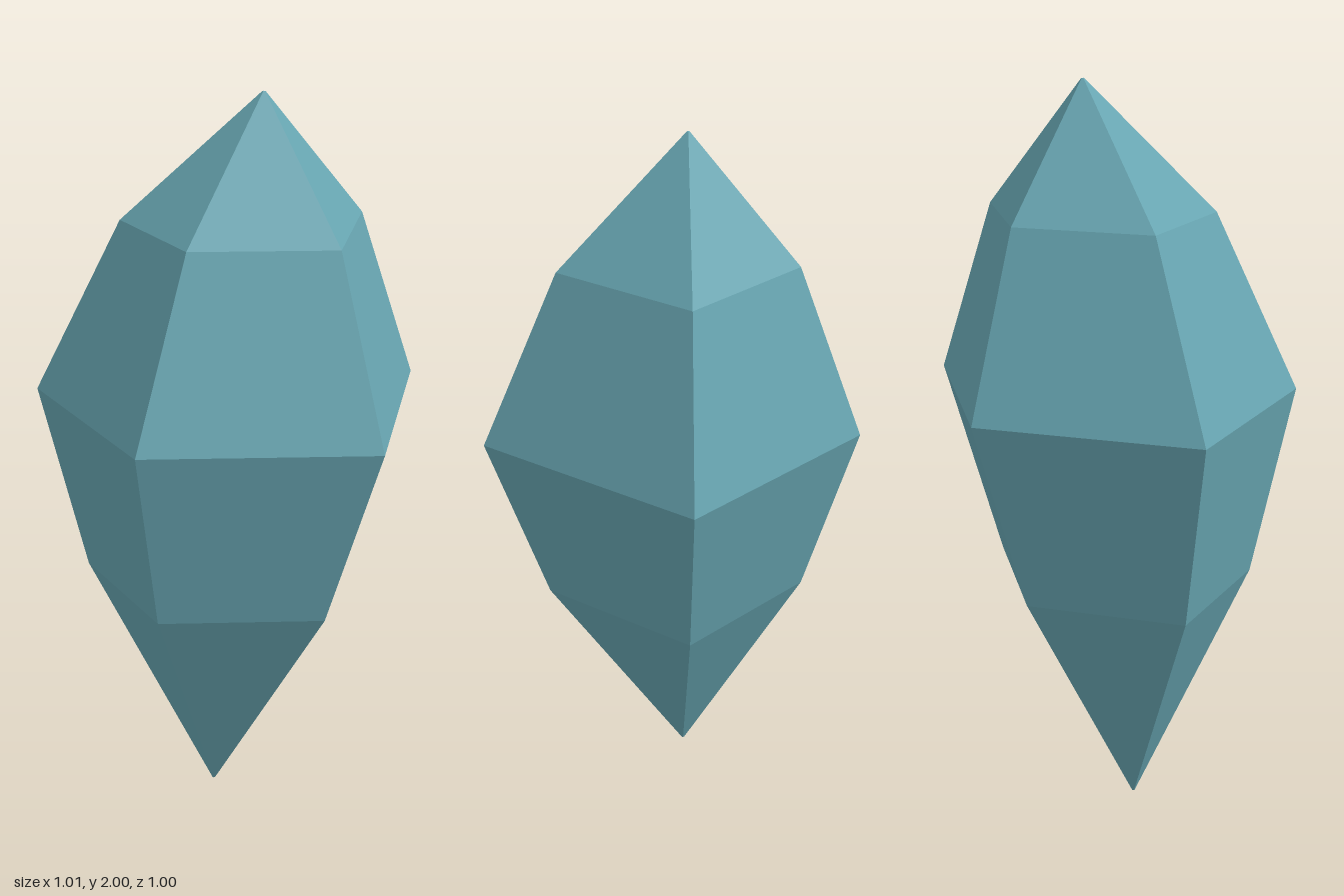
import * as THREE from 'three';

// Irregular five-sided outline (x, z), measured from the crystal's axis
const outline = [[0.502, 0], [0.11, 0.538], [-0.461, 0.29], [-0.505, -0.32], [0.085, -0.46]];
const axisZ = -0.04;

// Cross-sections from bottom tip to top tip: height, scale, sideways lean
const rings = [
  [0, 0.008, -0.126],
  [0.66, 0.713, -0.048],
  [1.175, 1, 0],
  [1.655, 0.62, 0.02],
  [2, 0.008, 0.036],
];

function crystalGeometry() {
  const n = outline.length;
  const positions = [];
  for (const [y, s, lean] of rings) {
    for (const [x, z] of outline) positions.push(x * s + lean, y, z * s + axisZ);
  }
  const index = [];
  // Side facets
  for (let r = 0; r < rings.length - 1; r++) {
    for (let i = 0; i < n; i++) {
      const a = r * n + i;
      const b = r * n + (i + 1) % n;
      index.push(a, a + n, b, b, a + n, b + n);
    }
  }
  // Tiny caps closing both tips
  const top = (rings.length - 1) * n;
  for (let i = 1; i < n - 1; i++) {
    index.push(0, i, i + 1, top, top + i + 1, top + i);
  }
  const indexed = new THREE.BufferGeometry();
  indexed.setAttribute('position', new THREE.Float32BufferAttribute(positions, 3));
  indexed.setIndex(index);
  const geometry = indexed.toNonIndexed();
  geometry.computeVertexNormals();
  return geometry;
}

export function createModel() {
  const group = new THREE.Group();
  group.name = 'crystal';
  const teal = new THREE.MeshStandardMaterial({ color: 0x68a6b2, flatShading: true });
  teal.name = 'teal crystal';
  const shard = new THREE.Mesh(crystalGeometry(), teal);
  shard.name = 'crystalShard';
  group.add(shard);
  return group;
}
